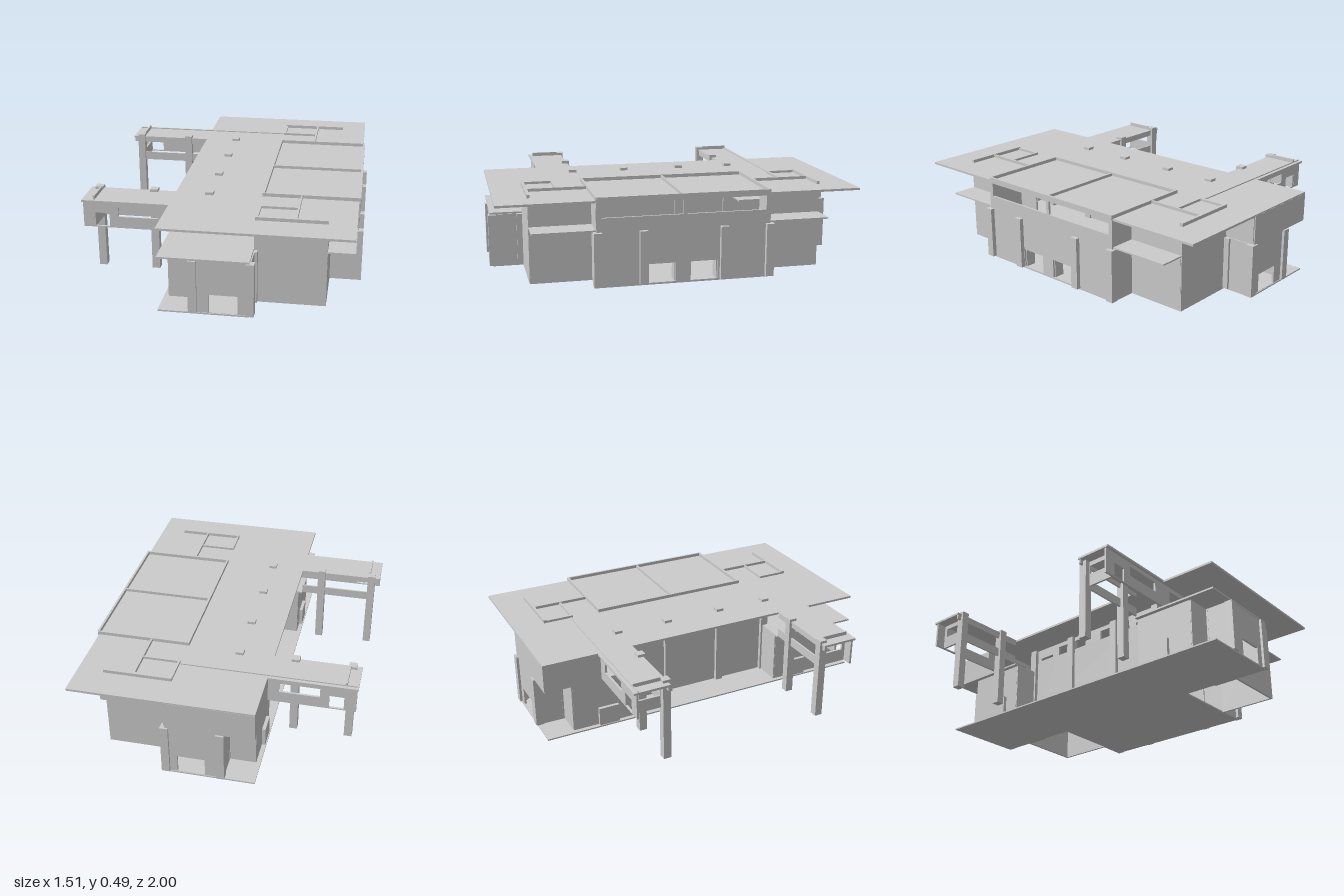
import * as THREE from 'three';

const material = new THREE.MeshStandardMaterial({ color: 0xcccccc, flatShading: true, side: THREE.DoubleSide });

export function createModel() {
  const model = new THREE.Group();

  const add = (name, geometry) => {
    const mesh = new THREE.Mesh(geometry, material);
    mesh.name = name;
    model.add(mesh);
    return mesh;
  };

  // box given by its limits on each axis
  const box = (name, x0, x1, y0, y1, z0, z1) =>
    add(name, new THREE.BoxGeometry(x1 - x0, y1 - y0, z1 - z0)
      .translate((x0 + x1) / 2, (y0 + y1) / 2, (z0 + z1) / 2));

  // same box on both wings
  const pair = (name, x0, x1, y0, y1, z0, z1) => {
    box(name, x0, x1, y0, y1, z0, z1);
    box(name, x0, x1, y0, y1, -z1, -z0);
  };

  // upright panel with rectangular openings [u0, u1, y0, y1]
  const panel = (u0, u1, y0, y1, holes, t) => {
    const rect = (path, a, b, c, d) =>
      path.moveTo(a, c).lineTo(b, c).lineTo(b, d).lineTo(a, d).closePath();
    const shape = new THREE.Shape();
    rect(shape, u0, u1, y0, y1);
    for (const h of holes) {
      const hole = new THREE.Path();
      rect(hole, ...h);
      shape.holes.push(hole);
    }
    return new THREE.ExtrudeGeometry(shape, { depth: t, bevelEnabled: false }).translate(0, 0, -t / 2);
  };
  const wallX = (name, x0, x1, z, y0, y1, holes = [], t = 0.012) =>
    add(name, panel(x0, x1, y0, y1, holes, t).translate(0, 0, z));
  const wallZ = (name, z0, z1, x, y0, y1, holes = [], t = 0.012) =>
    add(name, panel(z0, z1, y0, y1, holes, t).rotateY(-Math.PI / 2).translate(x, 0, 0));

  // square column centred on a point
  const column = (name, x, z, y0, y1, w = 0.044) =>
    box(name, x - w / 2, x + w / 2, y0, y1, z - w / 2, z + w / 2);

  // floors and roofs
  box('groundSlab', -0.28, 0.2, 0, 0.008, -0.99, 0.99);
  box('hallFloor', 0, 0.72, 0, 0.008, -0.47, 0.47);
  box('mainRoof', -0.28, 0.725, 0.455, 0.467, -0.99, 0.99);
  pair('armRoof', -0.76, -0.28, 0.455, 0.467, 0.47, 0.675);
  pair('entranceCanopy', -0.28, 0.2, 0.3, 0.31, 0.47, 0.99);
  pair('sideCanopy', 0.58, 0.725, 0.303, 0.311, 0.47, 0.81);

  // central hall: glazed side, clerestory and courtyard wall
  wallZ('hallOuterWall', -0.475, 0.475, 0.725, 0, 0.46, [
    [0.05, 0.2, 0.01, 0.115], [-0.18, -0.03, 0.01, 0.115],
    [0.01, 0.45, 0.375, 0.452], [-0.45, -0.01, 0.375, 0.452],
  ]);
  wallZ('hallInnerWall', -0.475, 0.475, -0.085, 0, 0.46, [
    [0.06, 0.28, 0.375, 0.43], [-0.28, -0.06, 0.375, 0.43],
    [0.33, 0.43, 0.38, 0.396], [-0.43, -0.33, 0.38, 0.396],
  ]);
  for (const z of [-0.47, -0.215, 0.225, 0.47]) column('hallColumn', 0.733, z, 0.008, 0.3);
  for (const z of [0.05, -0.18]) {
    box('doorReveal', 0.66, 0.72, 0.11, 0.116, z, z + 0.15);
    for (const e of [0, 0.145]) box('doorReveal', 0.66, 0.72, 0.008, 0.112, z + e, z + e + 0.005);
  }

  for (const s of [-1, 1]) {
    // tall corner rooms
    wallX('cornerRoomWall', 0.2, 0.58, s * 0.805, 0, 0.46);
    wallZ('cornerRoomSide', Math.min(s * 0.47, s * 0.805), Math.max(s * 0.47, s * 0.805), 0.575, 0, 0.46);
    wallZ('cornerRoomInnerSide', Math.min(s * 0.66, s * 0.805), Math.max(s * 0.66, s * 0.805), 0.205, 0, 0.46);
    wallX('hallEndWall', 0.575, 0.725, s * 0.47, 0, 0.46);

    // low entrance blocks
    wallX('entranceWall', -0.11, 0.205, s * 0.98, 0.004, 0.3, [[-0.01, 0.14, 0.01, 0.112]]);
    wallZ('entranceSide', Math.min(s * 0.8, s * 0.98), Math.max(s * 0.8, s * 0.98), 0.2, 0, 0.3);
    wallZ('entranceReturn', Math.min(s * 0.825, s * 0.98), Math.max(s * 0.825, s * 0.98), -0.105, 0, 0.3);
    wallX('lowRoomFront', -0.255, -0.1, s * 0.825, 0, 0.3);
    wallX('lowRoomBack', -0.255, -0.09, s * 0.475, 0, 0.3);
    wallZ('lowRoomSide', Math.min(s * 0.475, s * 0.825), Math.max(s * 0.475, s * 0.825), -0.25, 0, 0.3);
    const portalZ = s * 0.62;
    box('sidePortal', -0.275, -0.255, 0.008, 0.115, portalZ - 0.06, portalZ + 0.06);
    for (const x of [-0.095, 0.203]) {
      column('entranceColumn', x, s * 0.978, 0.008, 0.3);
      column('entranceColumn', x, s * 0.825, 0.008, 0.3, 0.034);
    }

    // raised arms: outer wall, inner rail, end frame and floor
    wallX('armOuterWall', -0.755, 0.2, s * 0.655, 0.31, 0.46, [
      [-0.56, -0.34, 0.375, 0.43], [-0.7, -0.61, 0.316, 0.393],
      [-0.21, 0, 0.36, 0.43], [0.06, 0.148, 0.313, 0.393],
    ]);
    box('armInnerRail', -0.69, -0.28, 0.31, 0.36, s * 0.478 - 0.005, s * 0.478 + 0.005);
    box('armInnerBeam', -0.755, -0.28, 0.43, 0.457, s * 0.478 - 0.005, s * 0.478 + 0.005);
    const [a, b] = [Math.min(s * 0.475, s * 0.66), Math.max(s * 0.475, s * 0.66)];
    wallZ('armEndFrame', a, b, -0.695, 0.31, 0.46, [[a + 0.03, b - 0.03, 0.38, 0.43]]);

    // arm columns with caps above the roof
    for (const x of [-0.71, -0.4]) column('armColumn', x, s * 0.48, 0.005, 0.482);
    for (const z of [0.17, 0.48]) column('courtColumn', -0.09, s * z, 0.005, 0.482);
    box('armRoofRib', -0.7, -0.69, 0.465, 0.488, Math.min(s * 0.5, s * 0.655), Math.max(s * 0.5, s * 0.655));

    // roof beams above the corner rooms
    box('roofCrossBeam', 0.205, 0.58, 0.465, 0.485, s * 0.805 - 0.008, s * 0.805 + 0.008);
    box('roofLongBeam', 0.41, 0.42, 0.465, 0.483, Math.min(s * 0.47, s * 0.8), Math.max(s * 0.47, s * 0.8));
    box('roofFrame', 0.205, 0.415, 0.465, 0.48, s * 0.64 - 0.006, s * 0.64 + 0.006);
    box('roofFrame', 0.205, 0.217, 0.465, 0.48, Math.min(s * 0.64, s * 0.8), Math.max(s * 0.64, s * 0.8));
    box('hallRoofEdge', 0.2, 0.73, 0.465, 0.486, s * 0.47 - 0.006, s * 0.47 + 0.006);
  }

  // hall roof border and divider
  box('hallRoofEdge', 0.2, 0.212, 0.465, 0.486, -0.47, 0.47);
  box('hallRoofEdge', 0.722, 0.734, 0.455, 0.486, -0.47, 0.47);
  box('hallRoofDivider', 0.2, 0.73, 0.465, 0.483, 0, 0.012);

  // closed upper room over the rear entrance
  wallX('rearUpperWall', -0.28, 0.2, -0.985, 0.31, 0.46);
  wallZ('rearUpperSide', -0.985, -0.655, -0.274, 0.31, 0.46);
  wallZ('rearUpperSide', -0.985, -0.805, 0.2, 0.31, 0.46);
  box('rearRoofRib', -0.755, 0.2, 0.465, 0.473, -0.655, -0.647);

  return model;
}
